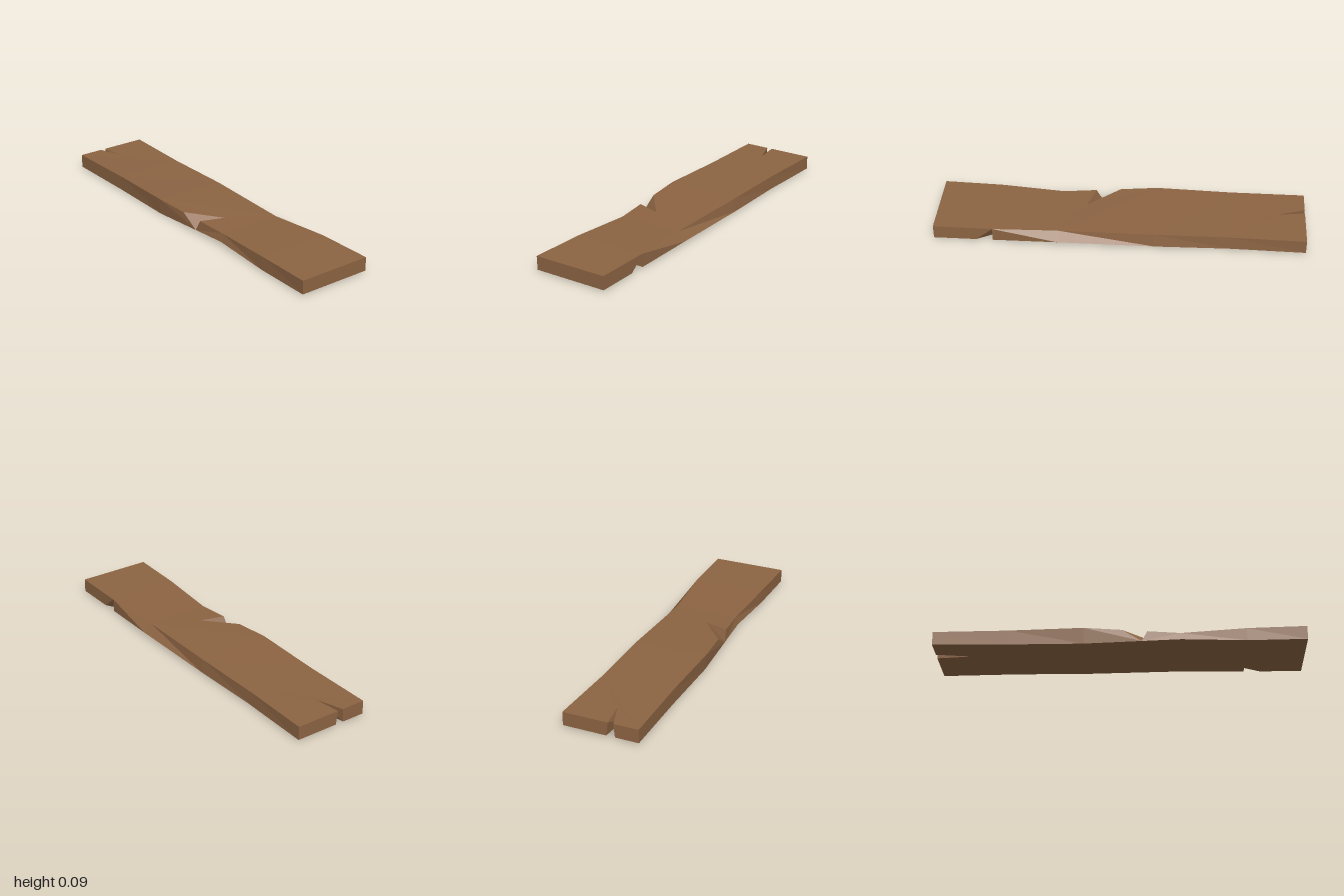
import * as THREE from 'three';

const v = (x, y, z) => new THREE.Vector3(x, y, z);

// Cross-section corners: left/right, top/bottom
const section = (z, lt, lb, rb, rt) => ({
  lt: v(lt[0], lt[1], z), lb: v(lb[0], lb[1], z),
  rb: v(rb[0], rb[1], z), rt: v(rt[0], rt[1], z),
});

// Turns counter-clockwise corner loops into one flat-faced geometry
function facesToGeometry(faces) {
  const positions = [];
  for (const loop of faces) {
    const n = v(0, 0, 0);
    loop.forEach((p, i) => n.add(p.clone().cross(loop[(i + 1) % loop.length])));
    n.normalize();
    const u = (Math.abs(n.y) > 0.7 ? v(1, 0, 0) : v(0, 1, 0)).cross(n).normalize();
    const w = n.clone().cross(u);
    const flat = loop.map((p) => new THREE.Vector2(p.dot(u), p.dot(w)));
    for (const tri of THREE.ShapeUtils.triangulateShape(flat, []))
      for (const i of tri) positions.push(...loop[i].toArray());
  }
  const geometry = new THREE.BufferGeometry();
  geometry.setAttribute('position', new THREE.Float32BufferAttribute(positions, 3));
  geometry.computeVertexNormals();
  return geometry;
}

export function createModel() {
  const wood = new THREE.MeshStandardMaterial({ color: 0x8b6342 });
  wood.name = 'brown wood';

  // Warped board outline, from the front end to the back end
  const s = [
    section(1, [-0.215, 0.083], [-0.213, 0.008], [0.2, 0.008], [0.2, 0.083]),
    section(0.68, [-0.205, 0.081], [-0.208, 0.008], [0.2, 0.008], [0.2, 0.081]),
    section(0.33, [-0.185, 0.068], [-0.198, 0.025], [0.217, 0.023], [0.173, 0.068]),
    section(-0.19, [-0.222, 0.09], [-0.215, 0], [0.2, 0.009], [0.188, 0.079]),
    section(-0.59, [-0.212, 0.086], [-0.211, 0.004], [0.19, 0.008], [0.185, 0.08]),
    section(-1, [-0.215, 0.083], [-0.215, 0.008], [0.198, 0.008], [0.198, 0.083]),
  ];
  const faces = [];
  const top = (f, b, extraLeft = [], extraBack = []) =>
    faces.push([b.lt, ...extraLeft, f.lt, f.rt, b.rt, ...extraBack]);
  const bottom = (f, b, extraBack = []) => faces.push([b.rb, f.rb, f.lb, b.lb, ...extraBack]);
  const left = (f, b) => faces.push([b.lt, b.lb, f.lb, f.lt]);
  const right = (f, b) => faces.push([f.rt, f.rb, b.rb, b.rt]);

  // Front end and first bay, with a chip under the right edge
  const [f0, f1, f2, f3, f4, f5] = s;
  const chipFront = v(0.2, 0.008, 0.77), chipTip = v(0.15, 0.008, 0.68);
  faces.push([f0.lt, f0.lb, f0.rb, f0.rt]);
  top(f0, f1);
  left(f0, f1);
  faces.push([chipTip, chipFront, f0.rb, f0.lb, f1.lb]);
  faces.push([f0.rt, f0.rb, chipFront, f1.rt]);
  faces.push([chipFront, chipTip, f1.rt], [f1.rt, chipTip, f1.rb]);

  // Thin waist
  top(f1, f2); bottom(f1, f2); left(f1, f2); right(f1, f2);

  // Middle bay, with a wedge gouged from the left edge
  const along = (a, b, z) => a.clone().lerp(b, (z - a.z) / (b.z - a.z));
  const gougeBack = along(f3.lt, f2.lt, 0.015), gougeFront = along(f3.lt, f2.lt, 0.15);
  const gougeLow = along(f3.lb, f2.lb, 0.12), gougeTip = v(-0.065, 0.073, 0.19);
  top(f2, f3, [gougeBack, gougeTip, gougeFront]);
  bottom(f2, f3);
  right(f2, f3);
  faces.push([f3.lt, f3.lb, gougeLow, gougeBack], [gougeLow, f2.lb, f2.lt, gougeFront]);
  faces.push([gougeBack, gougeLow, gougeTip], [gougeLow, gougeFront, gougeTip]);

  top(f3, f4); bottom(f3, f4); left(f3, f4); right(f3, f4);

  // Back bay and end, with a split through the full thickness
  const t = [v(-0.05, 0.083, -1), v(-0.03, 0.083, -0.85), v(-0.08, 0.083, -1)];
  const b = [v(-0.04, 0.008, -1), v(-0.057, 0.008, -0.81), v(-0.087, 0.008, -1)];
  top(f4, f5, [], t);
  bottom(f4, f5, [b[2], b[1], b[0]]);
  left(f4, f5);
  right(f4, f5);
  faces.push([f5.rt, f5.rb, b[0], t[0]], [t[2], b[2], f5.lb, f5.lt]);
  faces.push([t[0], b[0], b[1], t[1]], [t[1], b[1], b[2], t[2]]);

  const plank = new THREE.Mesh(facesToGeometry(faces), wood);
  plank.name = 'plank';
  const group = new THREE.Group();
  group.name = 'woodenPlank';
  group.add(plank);
  return group;
}
